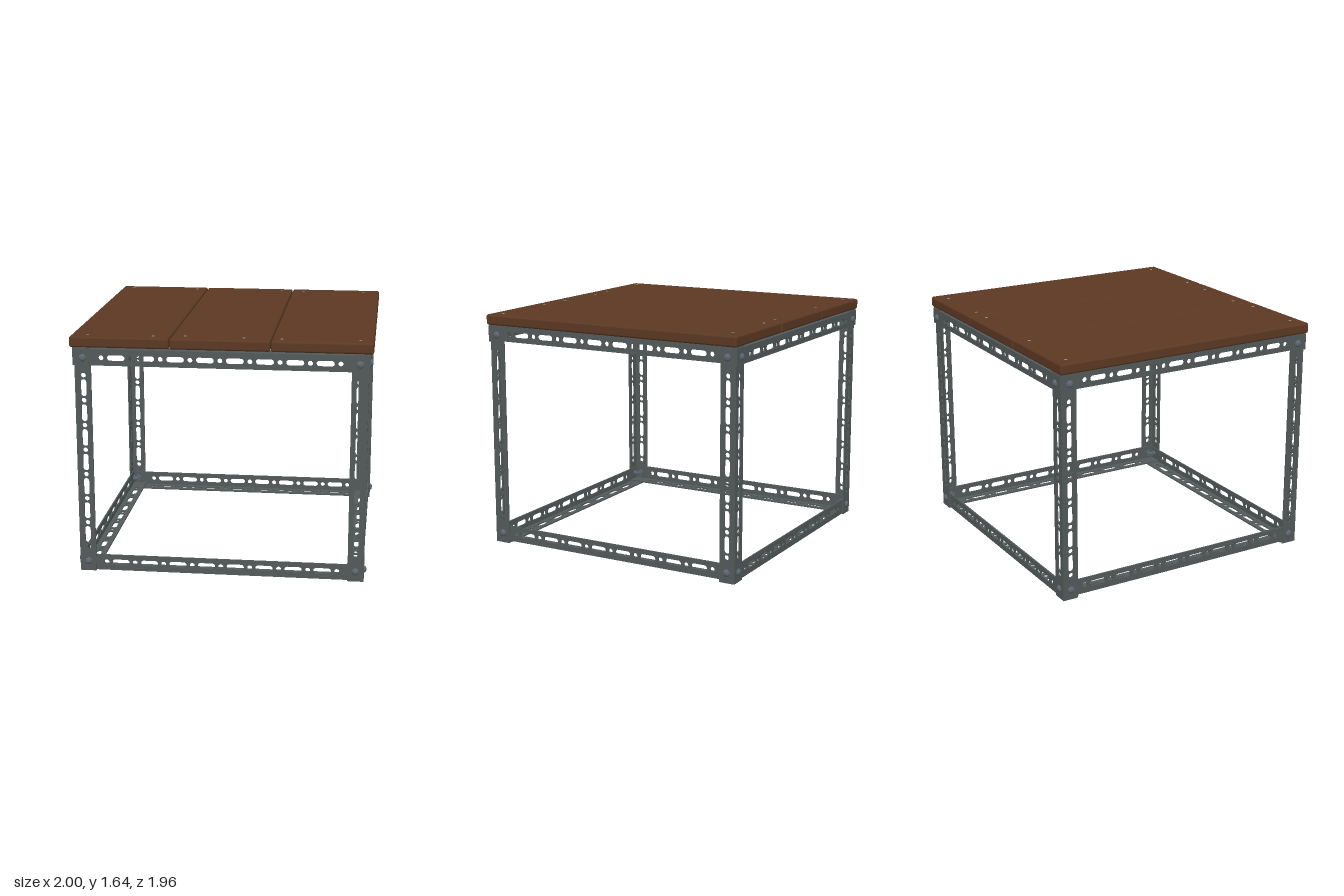
import * as THREE from 'three';
import { RoundedBoxGeometry } from 'three/addons/geometries/RoundedBoxGeometry.js';

const mat = (name, color) => {
  const m = new THREE.MeshStandardMaterial({ color });
  m.name = name;
  return m;
};

const W = 0.11, T = 0.01; // flange width and sheet thickness

// Flat perforated strip along x: slots alternating with round holes
function stripGeometry(length, pitch, shift) {
  const s = new THREE.Shape();
  s.moveTo(-length / 2, 0);
  s.lineTo(length / 2, 0);
  s.lineTo(length / 2, W);
  s.lineTo(-length / 2, W);
  s.closePath();
  const limit = length / 2 - 0.13, r = 0.019, h = 0.04, cy = W / 2 + 0.003;
  for (let i = -12; i <= 12; i++) {
    const x = i * pitch / 2 + shift;
    if (Math.abs(x) > limit) continue;
    const p = new THREE.Path();
    if (i % 2 === 0) {
      p.absarc(x + h, cy, r, -Math.PI / 2, Math.PI / 2, false);
      p.absarc(x - h, cy, r, Math.PI / 2, Math.PI * 1.5, false);
      p.closePath();
    } else {
      p.absarc(x, cy, 0.017, 0, Math.PI * 2, false);
    }
    s.holes.push(p);
  }
  const g = new THREE.ExtrudeGeometry(s, { depth: T, bevelEnabled: false, curveSegments: 6 });
  g.translate(0, 0, -T);
  return g;
}

export function createModel() {
  const wood = mat('brown wood', 0x5c3823);
  const steel = mat('dark steel', 0x535a5a);
  const boltSteel = mat('bolt steel', 0x5c6670);
  const screwSteel = mat('screw steel', 0x8c949a);
  const model = new THREE.Group();
  model.name = 'slottedAngleTable';

  const add = (parent, name, geo, m, x = 0, y = 0, z = 0) => {
    const mesh = new THREE.Mesh(geo, m);
    mesh.name = name;
    mesh.position.set(x, y, z);
    parent.add(mesh);
    return mesh;
  };

  // L-shaped bar along x, outer corner on the axis, flanges towards +y and -z
  const angleBar = (name, geo, pos, rx, ry, rz) => {
    const g = new THREE.Group();
    g.name = name;
    add(g, 'uprightFlange', geo, steel);
    const flat = add(g, 'flatFlange', geo, steel, 0, T, 0);
    flat.rotation.x = -Math.PI / 2;
    flat.position.y = T;
    g.position.set(...pos);
    g.rotation.set(rx, ry, rz, 'YXZ');
    model.add(g);
  };

  // Legs
  const legGeo = stripGeometry(1.555, 0.172, 0);
  [[1, 1], [1, -1], [-1, -1], [-1, 1]].forEach(([sx, sz], k) =>
    angleBar('leg', legGeo, [sx * 0.97, 0.7775, sz * 0.955], 0, k * Math.PI / 2, Math.PI / 2));

  // Rails: the upper ones wrap outside the legs, the lower ones sit inside them
  const topX = stripGeometry(1.96, 0.197, 0.0985), topZ = stripGeometry(1.92, 0.197, 0.0985);
  const lowX = stripGeometry(1.91, 0.197, 0.0985), lowZ = stripGeometry(1.88, 0.197, 0.0985);
  for (const s of [1, -1]) {
    const turn = s > 0 ? 0 : Math.PI;
    angleBar(s > 0 ? 'frontTopRail' : 'backTopRail', topX, [0, 1.56, s * 0.965], -Math.PI / 2, turn, 0);
    angleBar('sideTopRail', topZ, [s * 0.98, 1.57, 0], -Math.PI / 2, s * Math.PI / 2, 0);
    angleBar(s > 0 ? 'frontLowRail' : 'backLowRail', lowX, [0, 0.005, s * 0.945], 0, turn, 0);
    angleBar('sideLowRail', lowZ, [s * 0.96, 0.016, 0], 0, s * Math.PI / 2, 0);
  }

  // Bolts with domed heads outside and hexagonal nuts inside
  const head = new THREE.SphereGeometry(0.025, 16, 6, 0, Math.PI * 2, 0, Math.PI / 2);
  head.scale(1, 0.68, 1).rotateX(Math.PI / 2);
  const nut = new THREE.CylinderGeometry(0.025, 0.025, 0.018, 6).toNonIndexed().rotateX(Math.PI / 2);
  const shank = new THREE.CylinderGeometry(0.012, 0.012, 0.06, 10).rotateX(Math.PI / 2);
  const bolt = (x, y, z, turn) => {
    const g = new THREE.Group();
    g.name = 'bolt';
    add(g, 'boltHead', head, boltSteel);
    add(g, 'boltShank', shank, boltSteel, 0, 0, -0.03);
    add(g, 'boltNut', nut, boltSteel, 0, 0, -0.03);
    g.position.set(x, y, z);
    g.rotation.y = turn;
    model.add(g);
  };
  for (const sx of [1, -1]) for (const sz of [1, -1])
    for (const [y, out] of [[1.5, 0.01], [0.07, 0]]) {
      bolt(sx * 0.913, y, sz * (0.955 + out), sz > 0 ? 0 : Math.PI);
      bolt(sx * (0.97 + out), y, sz * 0.897, sx * Math.PI / 2);
    }

  // Table top of three planks
  for (const [x0, x1] of [[-1, -0.338], [-0.332, 0.329], [0.334, 1]])
    add(model, 'plank', new RoundedBoxGeometry(x1 - x0, 0.072, 1.94, 3, 0.014), wood,
      (x0 + x1) / 2, 1.606, 0);

  // Screws slightly proud of the planks
  const screw = new THREE.CylinderGeometry(0.011, 0.011, 0.006, 8);
  for (const [x, z] of [[-0.91, -0.885], [-0.41, -0.885], [0.25, -0.88], [0.42, -0.88], [0.88, -0.885],
    [-0.89, 0.89], [-0.45, 0.895], [-0.24, 0.87], [0.15, 0.885], [0.4, 0.895], [0.91, 0.885]])
    add(model, 'screw', screw, screwSteel, x, 1.6405, z);

  return model;
}
